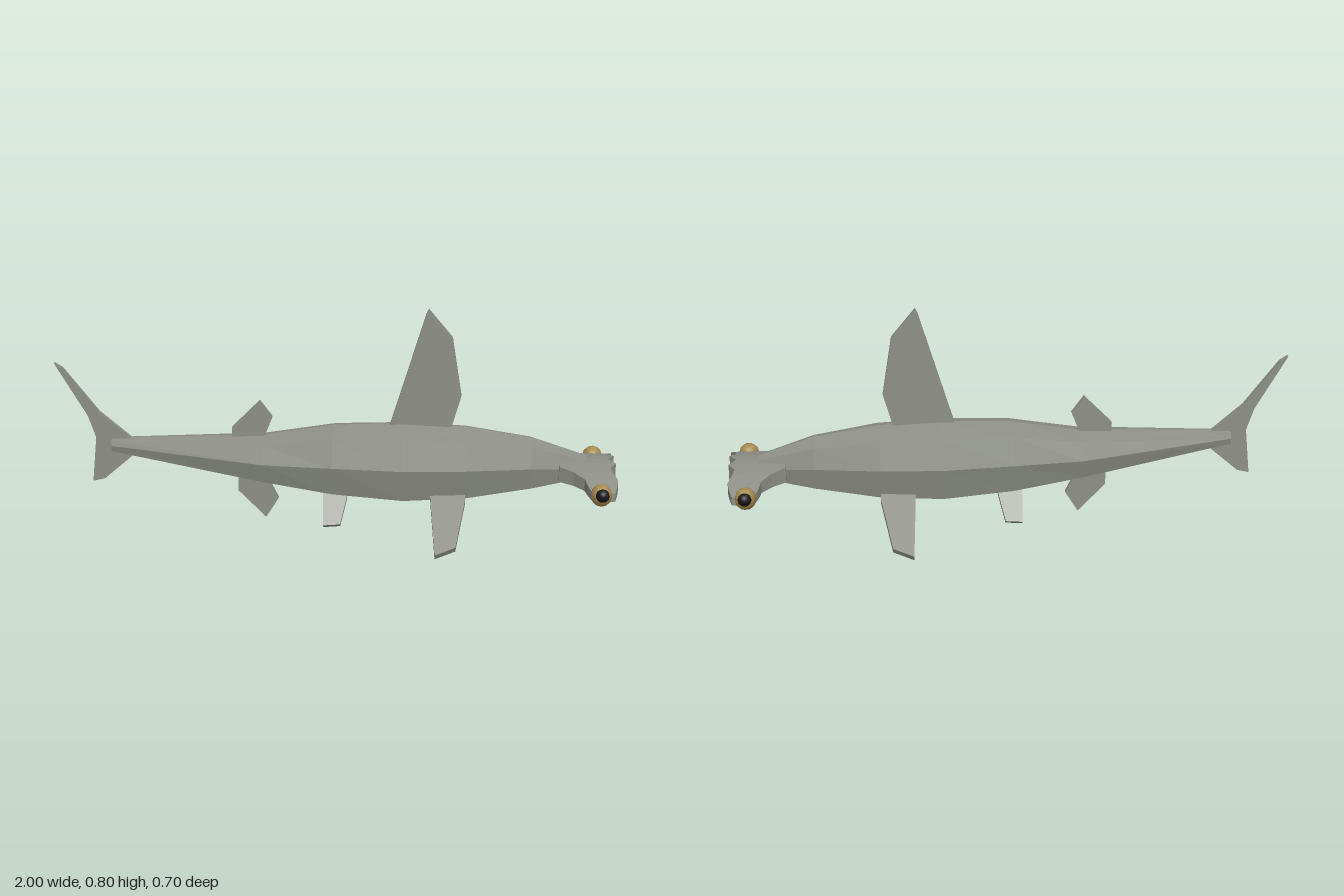
import * as THREE from 'three';

const skin = new THREE.MeshStandardMaterial({ color: 0x8d8f87 });
skin.name = 'grey skin';
const gold = new THREE.MeshStandardMaterial({ color: 0xa58a4e });
gold.name = 'gold eye';
const black = new THREE.MeshStandardMaterial({ color: 0x161616 });
black.name = 'black pupil';

// Flat-shaded skin over rings that run counterclockwise about the loft direction, with both ends capped
function loft(rings) {
  const pos = [];
  const tri = (...pts) => pts.forEach((p) => pos.push(...p));
  const n = rings[0].length;
  for (let i = 0; i < rings.length - 1; i++) {
    for (let j = 0; j < n; j++) {
      const k = (j + 1) % n;
      const a = rings[i][j], d = rings[i][k], b = rings[i + 1][j], c = rings[i + 1][k];
      tri(a, d, c);
      tri(a, c, b);
    }
  }
  const first = rings[0], last = rings[rings.length - 1];
  for (let j = 1; j < n - 1; j++) {
    tri(first[0], first[j + 1], first[j]);
    tri(last[0], last[j], last[j + 1]);
  }
  const g = new THREE.BufferGeometry();
  g.setAttribute('position', new THREE.Float32BufferAttribute(pos, 3));
  g.computeVertexNormals();
  return g;
}

// Flat plate with the given outline in x/y, centred on z = 0
function plate(points, thickness = 0.02) {
  const shape = new THREE.Shape(points.map(([x, y]) => new THREE.Vector2(x, y)));
  const g = new THREE.ExtrudeGeometry(shape, { depth: thickness, bevelEnabled: false });
  return g.translate(0, 0, -thickness / 2);
}

export function createModel() {
  const model = new THREE.Group();
  model.name = 'hammerheadShark';
  const add = (name, geometry, material = skin) => {
    const mesh = new THREE.Mesh(geometry, material);
    mesh.name = name;
    model.add(mesh);
    return mesh;
  };

  // Body: eight-sided sections [x, bottom, top, half width] from tail to snout
  const sections = [
    [-0.8, 0.268, 0.318, 0.027], [-0.25, 0.173, 0.338, 0.105], [0, 0.133, 0.38, 0.133],
    [0.25, 0.112, 0.39, 0.139], [0.47, 0.125, 0.381, 0.127], [0.7, 0.162, 0.346, 0.09],
    [0.895, 0.202, 0.284, 0.038],
  ];
  add('body', loft(sections.map(([x, bottom, top, w]) => {
    const m = (top + bottom) / 2, h = (top - bottom) / 2;
    return [[0, 1], [0.82, 0.79], [1, 0], [0.82, -0.83], [0, -1], [-0.82, -0.83], [-1, 0], [-0.82, 0.79]]
      .map(([z, y]) => [x, m + y * h, z * w]);
  })));

  // Hammer head: half sections [z, rear x, front x, bottom, top], mirrored
  const half = [
    [0, 0.8, 0.975, 0.209, 0.27], [0.045, 0.8, 1, 0.209, 0.268], [0.08, 0.8, 0.978, 0.207, 0.262],
    [0.115, 0.848, 0.985, 0.205, 0.255], [0.155, 0.885, 1, 0.2, 0.242], [0.19, 0.893, 0.995, 0.195, 0.23],
    [0.23, 0.908, 0.985, 0.187, 0.216],
  ];
  const headSections = [...half.slice(1).reverse().map(([z, ...r]) => [-z, ...r]), ...half];
  add('hammerHead', loft(headSections.map(([z, rear, front, bottom, top]) =>
    [[front, bottom, z], [front, top, z], [rear, top, z], [rear, bottom, z]])));

  // Upright fins on the centre line
  add('dorsalFin', plate([[0.2, 0.36], [0.2, 0.385], [0.325, 0.79], [0.333, 0.806], [0.418, 0.705],
    [0.452, 0.495], [0.42, 0.385], [0.42, 0.36]]));
  add('secondDorsalFin', plate([[-0.365, 0.31], [-0.365, 0.365], [-0.265, 0.465], [-0.22, 0.405],
    [-0.25, 0.33], [-0.25, 0.31]]));
  add('analFin', plate([[-0.345, 0.22], [-0.345, 0.13], [-0.245, 0.03], [-0.2, 0.102],
    [-0.23, 0.16], [-0.23, 0.2]]));
  add('tailFin', plate([[-1, 0.592], [-0.972, 0.575], [-0.845, 0.415], [-0.725, 0.315], [-0.725, 0.255],
    [-0.83, 0.165], [-0.873, 0.155], [-0.857, 0.32], [-0.885, 0.4]]));

  for (const s of [1, -1]) {
    const side = s > 0 ? 'Near' : 'Far';

    // Paired fins, splayed out and down
    add('pectoralFin' + side, plate([[0.345, 0.02], [0.35, -0.05], [0.367, -0.283], [0.438, -0.246],
      [0.47, -0.03], [0.47, 0.02]])
      .rotateX(-s * Math.PI / 3).translate(0, 0.153, s * 0.1));
    add('pelvicFin' + side, plate([[-0.035, 0.03], [-0.035, 0], [-0.03, -0.105], [0.03, -0.1],
      [0.05, 0], [0.05, 0.03]], 0.018)
      .rotateX(-s * 0.65).translate(0, 0.126, s * 0.071));

    // Eyes at the tips of the hammer
    add('eye' + side, new THREE.IcosahedronGeometry(0.041, 1)
      .scale(0.92, 1, 0.88).translate(0.938, 0.209, s * 0.226), gold);
    add('pupil' + side, new THREE.IcosahedronGeometry(0.024, 1)
      .scale(1, 1, 0.9).translate(0.94, 0.216, s * 0.256), black);
  }
  return model;
}
